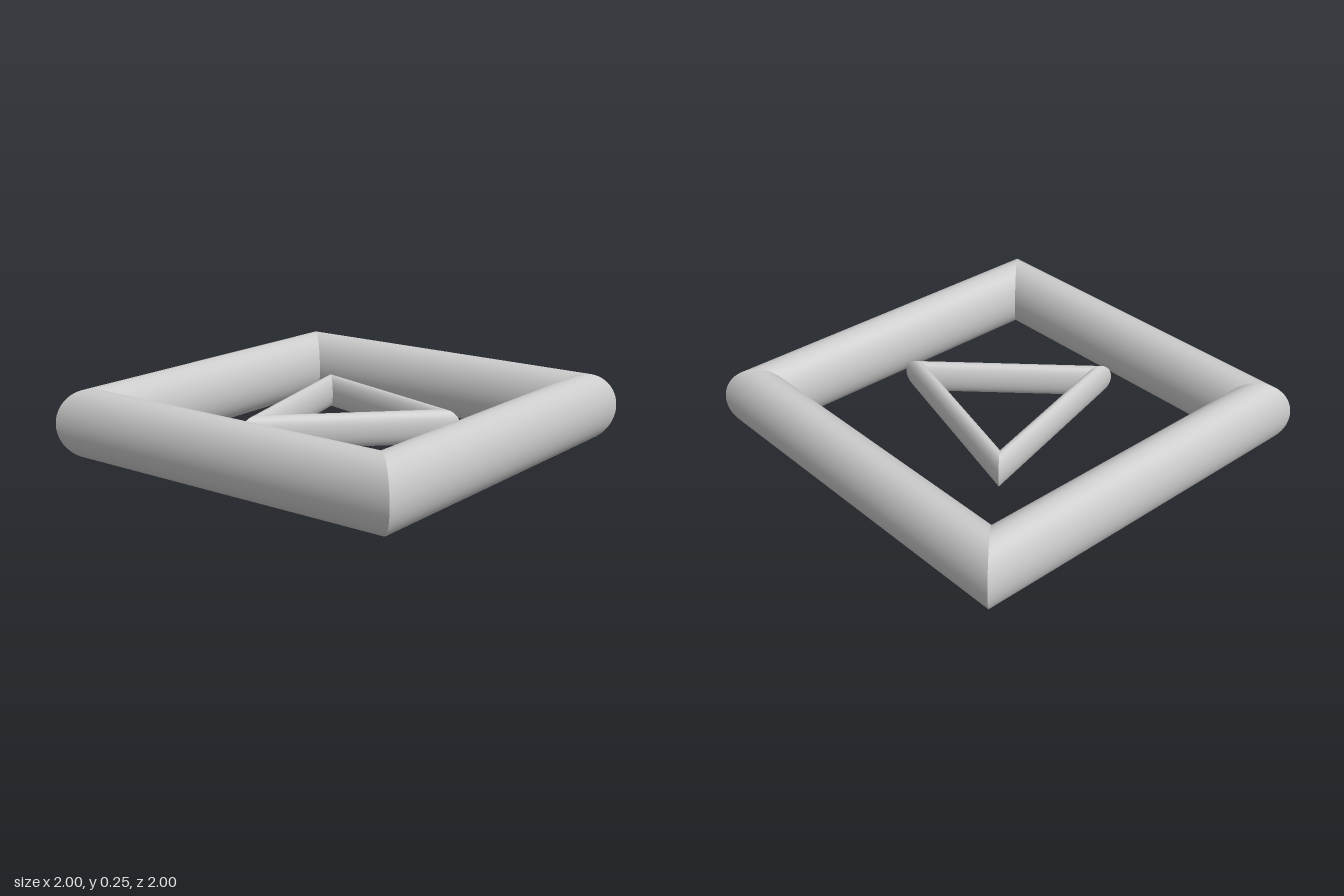
import * as THREE from 'three';
import { ParametricGeometry } from 'three/addons/geometries/ParametricGeometry.js';

const material = new THREE.MeshStandardMaterial({ color: 0xcccccc });
const CENTRE_Y = 0.125;

// One straight bar between two mitred corners; each mitre plane is a circle of the tube radius.
function bar(radius, tube, start, end) {
  const corner = (angle, a) => {
    const r = radius + tube * Math.cos(a);
    return new THREE.Vector3(r * Math.sin(angle), tube * Math.sin(a), r * Math.cos(angle));
  };
  return new ParametricGeometry((u, v, target) => {
    const a = v * Math.PI * 2;
    target.lerpVectors(corner(start, a), corner(end, a), u);
  }, 1, 64);
}

// Closed polygon of round bars lying flat, with one corner at the given angle from +z.
function polygonRing(name, sides, radius, tube, firstAngle) {
  const ring = new THREE.Group();
  ring.name = name;
  ring.position.y = CENTRE_Y;
  const step = (Math.PI * 2) / sides;
  for (let i = 0; i < sides; i++) {
    const start = firstAngle + i * step;
    const mesh = new THREE.Mesh(bar(radius, tube, start, start + step), material);
    mesh.name = `${name}Bar${i + 1}`;
    ring.add(mesh);
  }
  return ring;
}

export function createModel() {
  const model = new THREE.Group();
  model.name = 'nestedRings';
  // Outer diamond frame
  model.add(polygonRing('squareFrame', 4, 0.875, 0.125, 0));
  // Inner triangle, apex towards the back
  model.add(polygonRing('triangleFrame', 3, 0.375, 0.06, Math.PI));
  return model;
}
